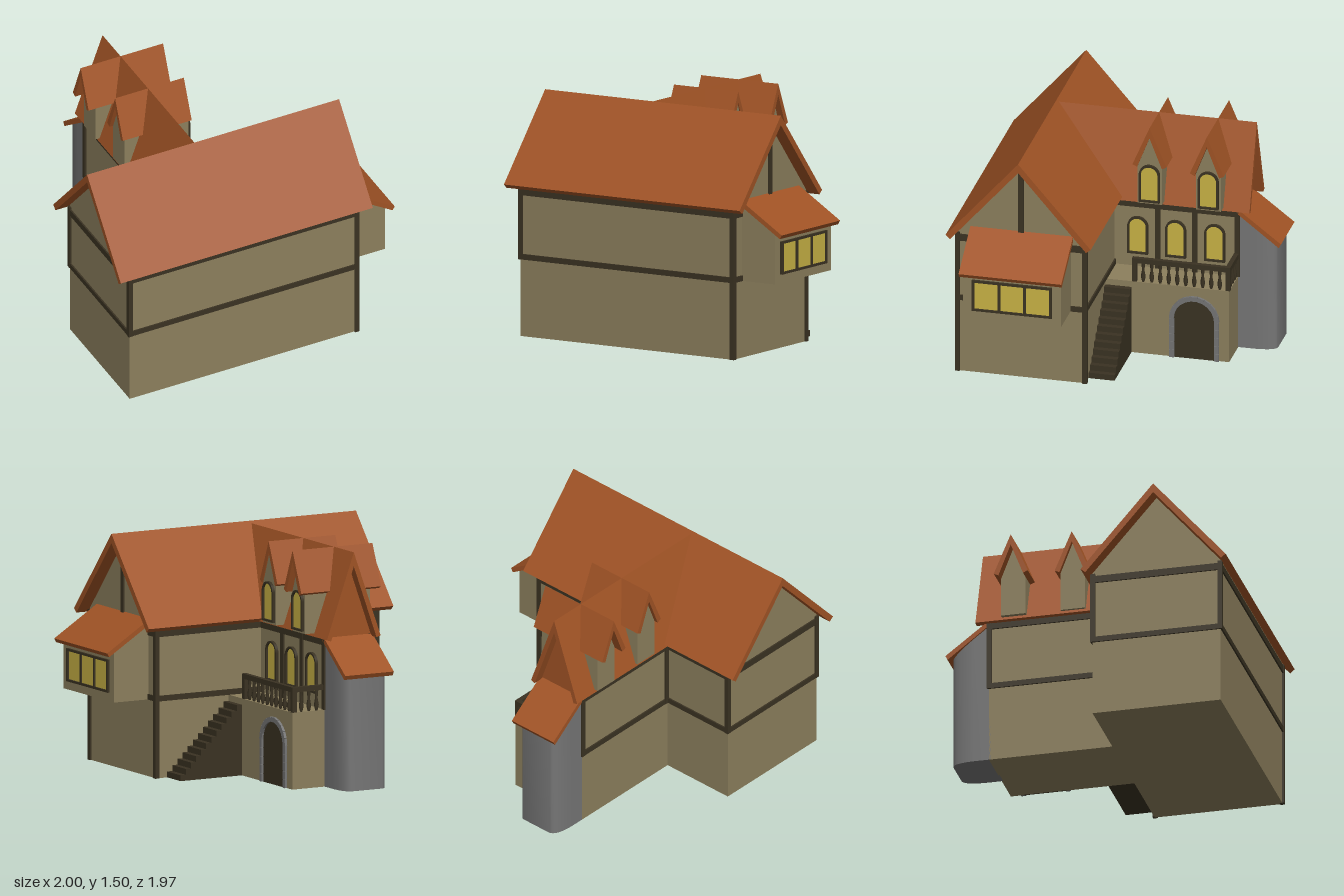
import * as THREE from 'three';
import { toCreasedNormals } from 'three/addons/utils/BufferGeometryUtils.js';

const material = (name, color, side = THREE.FrontSide) => {
  const m = new THREE.MeshStandardMaterial({ color, side });
  m.name = name;
  return m;
};

export function createModel() {
  const house = new THREE.Group();
  house.name = 'house';
  const plaster = material('plaster', 0x8c7f5d);
  const tile = material('roof tile', 0xa05325);
  const timber = material('dark timber', 0x3a3222);
  const stone = material('grey stone', 0x757575);
  const glass = material('yellow glass', 0xc9b345);

  const add = (name, geometry, mat, parent = house) => {
    const mesh = new THREE.Mesh(geometry, mat);
    mesh.name = name;
    parent.add(mesh);
    return mesh;
  };
  const box = (name, mat, x0, x1, y0, y1, z0, z1, parent) => {
    const m = add(name, new THREE.BoxGeometry(x1 - x0, y1 - y0, z1 - z0), mat, parent);
    m.position.set((x0 + x1) / 2, (y0 + y1) / 2, (z0 + z1) / 2);
    return m;
  };
  const polygon = (pts) => new THREE.Shape(pts.map(([a, b]) => new THREE.Vector2(a, b)));
  const extrude = (shape, depth) =>
    new THREE.ExtrudeGeometry(shape, { depth, bevelEnabled: false, curveSegments: 12 });
  // Profile points are [x, y], swept along z
  const sweepZ = (name, mat, pts, z0, z1) =>
    add(name, extrude(polygon(pts), z1 - z0).translate(0, 0, z0), mat);
  // Profile points are [z, y], swept along x
  const sweepX = (name, mat, pts, x0, x1) =>
    add(name, extrude(polygon(pts.map(([z, y]) => [-z, y])), x1 - x0)
      .rotateY(Math.PI / 2).translate(x0, 0, 0), mat);
  // Inverted V section of a gabled roof
  const chevron = (c, half, eave, ridge, inset, drop, thick) => [
    [c - half, eave], [c - half + inset, eave - drop], [c, ridge - thick],
    [c + half - inset, eave - drop], [c + half, eave], [c, ridge]];

  // Main block and its roof
  sweepX('mainWalls', plaster,
    [[0.93, 0], [0.93, 0.97], [0.515, 1.455], [0.1, 0.97], [0.1, 0]], -0.91, 0.69);
  sweepX('mainRoof', tile, chevron(0.515, 0.47, 0.965, 1.505, 0.03, 0.025, 0.06), -1, 0.775);

  // Main block timber frame
  for (const [y0, y1] of [[0.49, 0.525], [0.9, 0.945]]) {
    box('frontBeam', timber, -0.92, 0.7, y0, y1, 0.92, 0.94);
    box('backBeam', timber, -0.92, 0.7, y0, y1, 0.09, 0.11);
    box('rightBeam', timber, 0.68, 0.7, y0, y1, 0.09, 0.94);
    box('leftBeam', timber, -0.92, -0.9, y0, y1, 0.09, 0.94);
  }
  for (const [z0, z1] of [[0.912, 0.942], [0.088, 0.118]]) {
    box('rightCornerPost', timber, 0.672, 0.702, 0, 0.96, z0, z1);
    box('leftCornerPost', timber, -0.922, -0.892, 0.49, 0.96, z0, z1);
  }
  box('kingPost', timber, 0.68, 0.7, 0.94, 1.45, 0.497, 0.533);

  // Bay window on the right gable
  sweepZ('bayWalls', plaster,
    [[0.68, 0.49], [0.94, 0.49], [0.94, 0.825], [0.68, 0.98]], 0.195, 0.83);
  sweepZ('bayRoof', tile,
    [[0.69, 0.97], [0.985, 0.785], [1, 0.81], [0.69, 1.005]], 0.18, 0.845);
  box('bayGlass', glass, 0.935, 0.946, 0.55, 0.75, 0.26, 0.765);
  for (const y of [0.545, 0.74]) box('bayFrameRail', timber, 0.935, 0.955, y, y + 0.015, 0.255, 0.77);
  for (let i = 0; i < 4; i++) {
    const z = 0.2625 + i * 0.1667;
    box('bayFramePost', timber, 0.935, 0.955, 0.545, 0.755, z - 0.009, z + 0.009);
  }

  // Rear wing: wide ground floor, narrow upper floor, steep roof
  box('wingGroundFloor', plaster, -0.4, 0.165, 0, 0.49, -0.7, 0.11);
  box('wingUpperFloor', plaster, -0.4, -0.07, 0.49, 0.96, -0.7, 0.11);
  sweepZ('wingRoof', tile, chevron(-0.235, 0.195, 0.945, 1.49, 0.03, 0.01, 0.09), -0.78, 0.5);
  sweepZ('wingGable', tile, [[-0.395, 0.95], [-0.075, 0.95], [-0.235, 1.405]], -0.715, 0.3);
  for (const [y0, y1] of [[0.49, 0.525], [0.9, 0.945]]) {
    box('wingLeftBeam', timber, -0.41, -0.39, y0, y1, -0.71, 0.1);
    box('wingBackBeam', timber, -0.41, -0.06, y0, y1, -0.71, -0.69);
  }
  box('wingTopBeam', timber, -0.08, -0.06, 0.9, 0.945, -0.71, 0.1);
  box('wingLeftPost', timber, -0.412, -0.38, 0.49, 0.95, -0.712, -0.68);
  box('wingInnerPost', timber, -0.412, -0.39, 0.49, 0.95, 0.07, 0.1);
  for (const z of [-0.18, -0.42, -0.695])
    box('wingPost', timber, -0.08, -0.058, 0.49, 0.94, z - 0.017, z + 0.017);

  // Round-topped windows facing the right side
  const archShape = (w, h, y = 0) => {
    const s = new THREE.Shape();
    s.moveTo(-w, y);
    s.lineTo(w, y);
    s.lineTo(w, h - w);
    s.absarc(0, h - w, w, 0, Math.PI, false);
    s.lineTo(-w, y);
    return s;
  };
  const archWindow = (x, y, z) => {
    const g = new THREE.Group();
    g.name = 'archedWindow';
    const frame = archShape(0.067, 0.255);
    frame.holes.push(archShape(0.054, 0.242, 0.013));
    add('windowFrame', extrude(frame, 0.02), timber, g);
    add('windowGlass', extrude(archShape(0.06, 0.248, 0.006), 0.008), glass, g);
    g.rotation.y = Math.PI / 2;
    g.position.set(x, y, z);
    house.add(g);
  };
  for (const z of [-0.052, -0.297, -0.55]) archWindow(-0.071, 0.58, z);

  // Dormers running through the wing roof
  for (const [z, bodyHalf, roofHalf] of [[-0.147, 0.245, 0.242], [-0.53, 0.255, 0.29]]) {
    sweepX('dormerWalls', plaster,
      [[z + 0.08, 0.965], [z + 0.08, 1.23], [z, 1.435], [z - 0.08, 1.23], [z - 0.08, 0.965]],
      -0.225 - bodyHalf + 0.03, -0.235 + bodyHalf);
    sweepX('dormerRoof', tile, chevron(z, 0.11, 1.23, 1.49, 0.03, 0.015, 0.07),
      -0.225 - roofHalf, -0.225 + roofHalf);
    archWindow(-0.236 + bodyHalf, 0.98, z);
  }

  // Balcony railing
  const baluster = new THREE.LatheGeometry(
    [[0.008, 0], [0.016, 0.035], [0.008, 0.08], [0.013, 0.13]].map(([r, y]) => new THREE.Vector2(r, y)), 8);
  const addBaluster = (x, z) => add('baluster', baluster, timber).position.set(x, 0.49, z);
  box('sideHandrail', timber, 0.135, 0.165, 0.618, 0.65, -0.705, -0.07);
  box('backHandrail', timber, -0.07, 0.165, 0.618, 0.65, -0.705, -0.675);
  for (let i = 0; i < 10; i++) addBaluster(0.15, -0.14 - i * 0.055);
  for (let i = 0; i < 3; i++) addBaluster(-0.015 + i * 0.055, -0.69);
  for (const z of [-0.085, -0.69])
    box('railPost', timber, 0.135, 0.165, 0.49, 0.65, z - 0.015, z + 0.015);

  // Stairs up to the balcony
  const steps = 12, run = 0.445 / steps, rise = 0.45 / steps;
  const stairs = [[0.165, 0], [0.61, 0]];
  for (let i = 0; i < steps; i++) {
    stairs.push([0.61 - i * run, (i + 1) * rise], [0.61 - (i + 1) * run, (i + 1) * rise]);
  }
  sweepZ('stairs', timber, stairs, -0.068, 0.1);

  // Arched door with stone surround
  const door = new THREE.Group();
  door.name = 'archedDoor';
  door.rotation.y = Math.PI / 2;
  door.position.set(0.16, 0, -0.475);
  house.add(door);
  add('doorPanel', extrude(archShape(0.135, 0.405), 0.009), timber, door);
  const block = (x, y, h, turn) => {
    const m = add('surroundStone', new THREE.BoxGeometry(0.031, h, 0.025), stone, door);
    m.position.set(x, y, 0.0095);
    m.rotation.z = turn;
  };
  for (const s of [-1, 1]) for (let i = 0; i < 5; i++) block(s * 0.145, 0.027 + i * 0.054, 0.052, 0);
  for (let i = 0; i < 11; i++) {
    const a = (i + 0.5) * Math.PI / 11;
    block(Math.cos(a) * 0.145, 0.27 + Math.sin(a) * 0.145, 0.043, a);
  }

  // Stone buttress with rounded corners and a sloping top
  const plan = new THREE.Shape();
  plan.moveTo(-0.4, 0.69);
  plan.lineTo(-0.07, 0.69);
  plan.lineTo(-0.07, 0.8);
  plan.quadraticCurveTo(-0.075, 0.94, -0.13, 0.945);
  plan.lineTo(-0.34, 0.945);
  plan.quadraticCurveTo(-0.395, 0.94, -0.4, 0.8);
  plan.lineTo(-0.4, 0.69);
  const tower = extrude(plan, 0.9).rotateX(-Math.PI / 2);
  const p = tower.attributes.position;
  for (let i = 0; i < p.count; i++)
    if (p.getY(i) > 0.5) p.setY(i, 0.75 + (p.getZ(i) + 0.945) * 0.75);
  add('stoneButtress', toCreasedNormals(tower, 0.6), stone);
  sweepX('buttressRoof', tile,
    [[-0.69, 0.93], [-0.69, 0.965], [-0.98, 0.745], [-0.965, 0.718]], -0.41, -0.058);

  return house;
}
